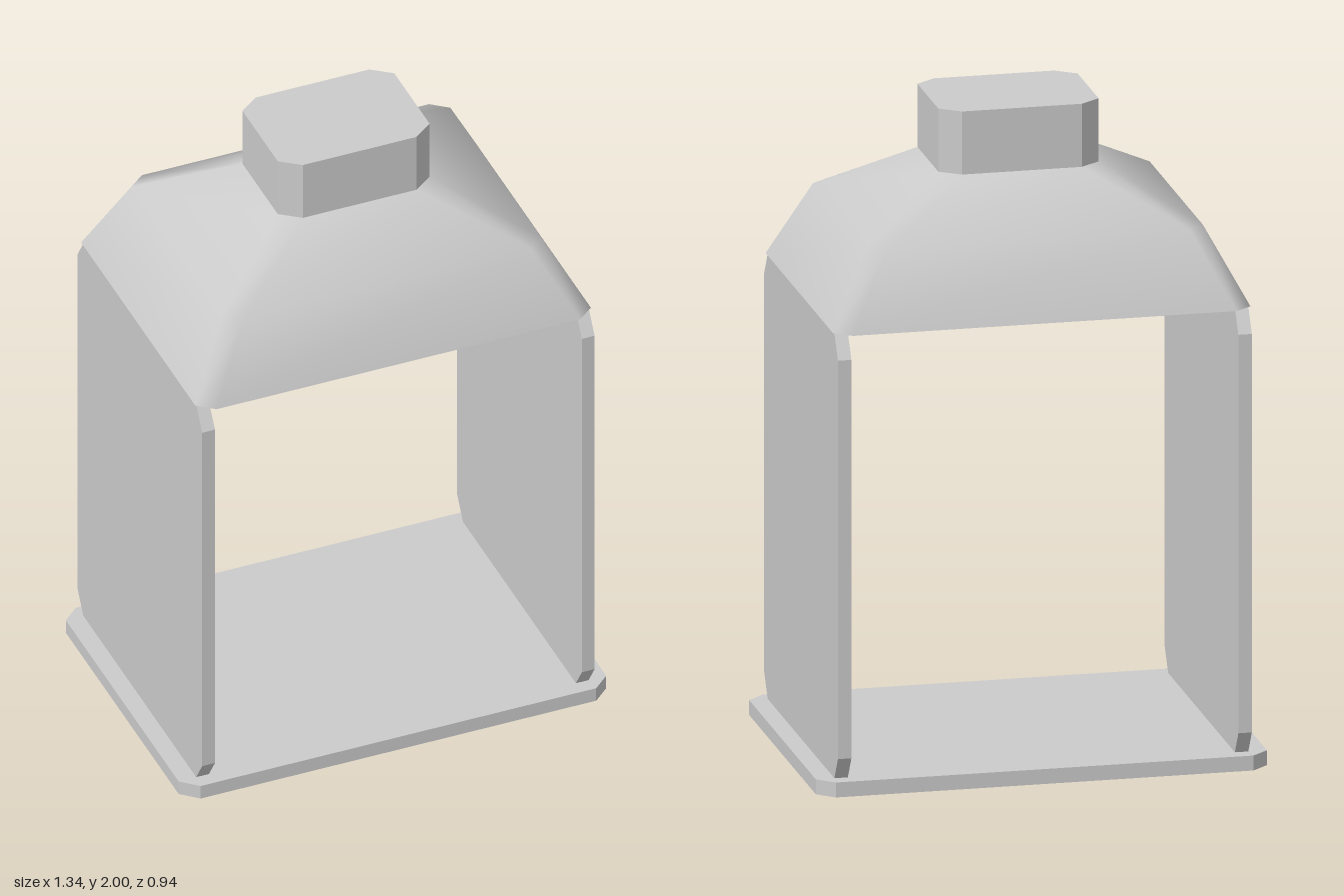
import * as THREE from 'three';

const material = new THREE.MeshStandardMaterial({ color: 0xcccccc });

// Corners of a rectangle with clipped corners: half sizes a, b and clips ca, cb
function octagon(a, b, ca, cb) {
  return [
    [a, -b + cb], [a, b - cb], [a - ca, b], [-a + ca, b],
    [-a, b - cb], [-a, -b + cb], [-a + ca, -b], [a - ca, -b],
  ].map(([x, y]) => new THREE.Vector2(x, y));
}

function part(name, geometry) {
  const mesh = new THREE.Mesh(geometry, material);
  mesh.name = name;
  return mesh;
}

// Horizontal slab between two heights
function slab(name, outline, y0, y1) {
  const g = new THREE.ExtrudeGeometry(new THREE.Shape(outline), { depth: y1 - y0, bevelEnabled: false });
  g.rotateX(Math.PI / 2).translate(0, y1, 0);
  return part(name, g);
}

// Smooth skin through octagonal rings; rising rings face out, falling rings face in
function loft(rings) {
  const positions = [], index = [], n = 8;
  rings.forEach(([y, ...size], r) => {
    octagon(...size).forEach((p) => positions.push(p.x, y, p.y));
    if (r === 0) return;
    for (let i = 0; i < n; i++) {
      const a = (r - 1) * n + i, b = (r - 1) * n + (i + 1) % n;
      index.push(a, a + n, b, b, a + n, b + n);
    }
  });
  const g = new THREE.BufferGeometry();
  g.setAttribute('position', new THREE.Float32BufferAttribute(positions, 3));
  g.setIndex(index);
  g.computeVertexNormals();
  return g;
}

// Flat face looking down, with an optional hole
function downFace(y, outline, hole) {
  const shape = new THREE.Shape(outline);
  if (hole) shape.holes.push(new THREE.Path(hole));
  return new THREE.ShapeGeometry(shape).rotateX(Math.PI / 2).translate(0, y, 0);
}

export function createModel() {
  const model = new THREE.Group();

  // Foot and base plate
  model.add(slab('foot', octagon(0.45, 0.315, 0.045, 0.035), 0, 0.045));
  model.add(slab('basePlate', octagon(0.67, 0.47, 0.05, 0.045), 0.045, 0.09));

  // Side panels, outline in z and y
  for (const side of [-1, 1]) {
    const g = new THREE.ExtrudeGeometry(
      new THREE.Shape(octagon(0.47, 0.67, 0.045, 0.07)), { depth: 0.04, bevelEnabled: false });
    g.translate(0, 0, -0.02).rotateY(Math.PI / 2).translate(side * 0.595, 0.76, 0);
    model.add(part(side > 0 ? 'leftPanel' : 'rightPanel', g));
  }

  // Hollow roof: outer skin, underside with opening, cavity
  const eave = [0.62, 0.47, 0.05, 0.04];
  const neck = [0.238, 0.178, 0.06, 0.045];
  const opening = [0.33, 0.26, 0.06, 0.045];
  const ceiling = [0.21, 0.155, 0.05, 0.04];
  const roof = new THREE.Group();
  roof.name = 'roof';
  roof.add(part('roofSkin', loft([[1.432, ...eave], [1.66, 0.5, 0.38, 0.05, 0.04], [1.81, ...neck]])));
  roof.add(part('roofUnderside', downFace(1.432, octagon(...eave), octagon(...opening))));
  roof.add(part('roofCavity', loft([[1.77, ...ceiling], [1.432, ...opening]])));
  roof.add(part('roofCeiling', downFace(1.77, octagon(...ceiling))));
  model.add(roof);

  // Cap block
  model.add(slab('cap', octagon(...neck), 1.81, 2));

  return model;
}
